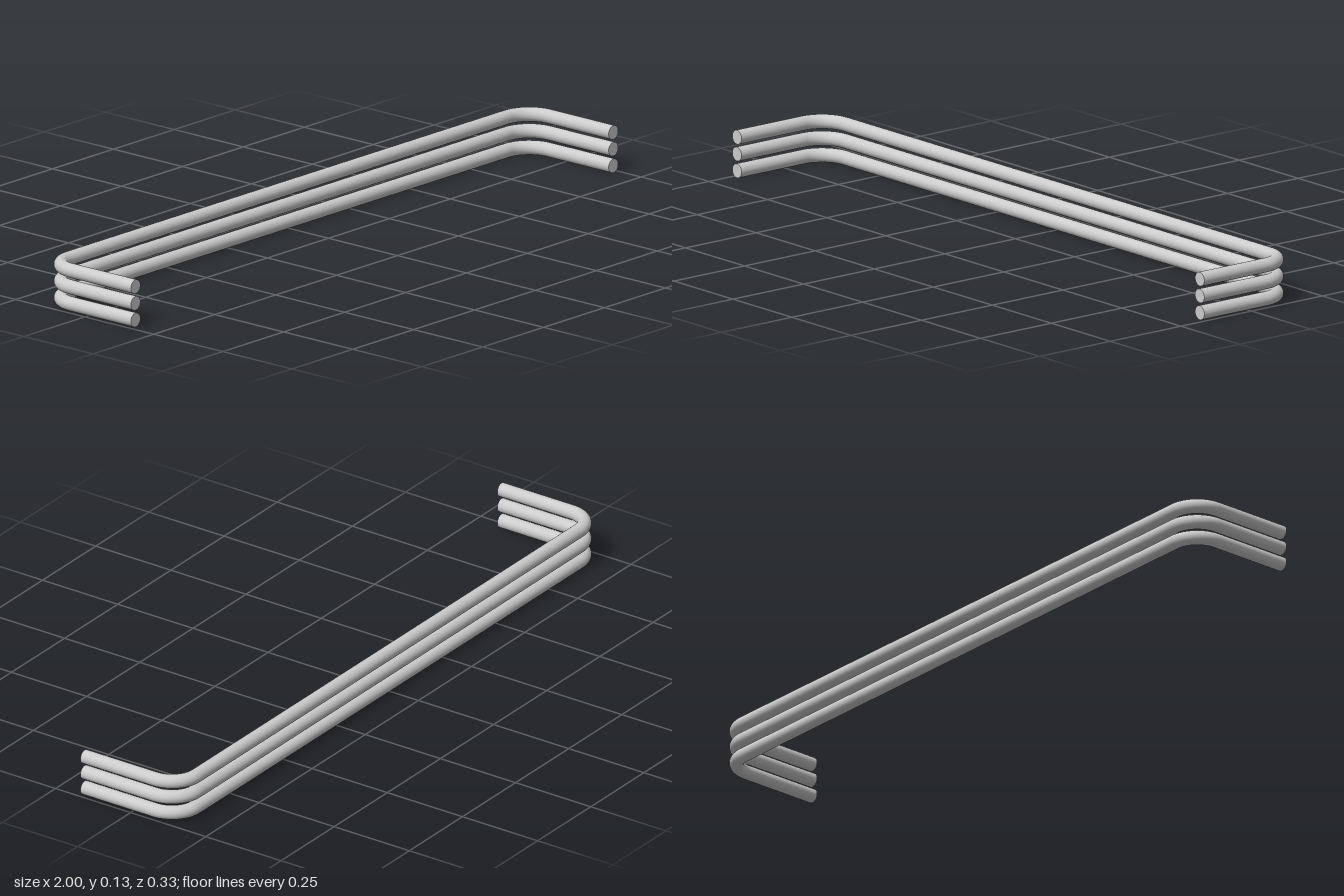
import * as THREE from 'three';
import { mergeGeometries } from 'three/addons/utils/BufferGeometryUtils.js';

const R = 0.0197;            // tube radius
const BEND = 0.08;           // centreline radius of the corners
const LEG_X = 1 - R;         // centreline of the side legs
const BACK_Z = -0.167 + R;   // centreline of the long span
const FRONT_Z = 0.167;       // open ends of the legs
const PITCH = 0.0472;        // vertical spacing of the rails
const SIDES = 32;

// One U-shaped round bar lying flat, centred on y = 0
function railGeometry() {
  const cornerX = LEG_X - BEND;
  const cornerZ = BACK_Z + BEND;
  const legLength = FRONT_Z - cornerZ;

  // Long straight span
  const parts = [
    new THREE.CylinderGeometry(R, R, 2 * cornerX, SIDES, 1, true)
      .rotateZ(Math.PI / 2)
      .translate(0, 0, BACK_Z),
  ];

  for (const side of [1, -1]) {
    // Quarter bend
    const bend = new THREE.TorusGeometry(BEND, R, SIDES, 16, Math.PI / 2).rotateX(-Math.PI / 2);
    if (side < 0) bend.rotateY(Math.PI / 2);
    parts.push(bend.translate(side * cornerX, 0, cornerZ));

    // Straight leg
    parts.push(
      new THREE.CylinderGeometry(R, R, legLength, SIDES, 1, true)
        .rotateX(Math.PI / 2)
        .translate(side * LEG_X, 0, cornerZ + legLength / 2)
    );

    // Flat end face
    parts.push(new THREE.CircleGeometry(R, SIDES).translate(side * LEG_X, 0, FRONT_Z));
  }
  return mergeGeometries(parts);
}

export function createModel() {
  const group = new THREE.Group();
  group.name = 'bentRails';
  const material = new THREE.MeshStandardMaterial({ color: 0xcccccc });
  const geometry = railGeometry();

  // Three identical rails stacked with a small gap
  ['lowerRail', 'middleRail', 'upperRail'].forEach((name, i) => {
    const rail = new THREE.Mesh(geometry, material);
    rail.name = name;
    rail.position.y = R + i * PITCH;
    group.add(rail);
  });
  return group;
}
